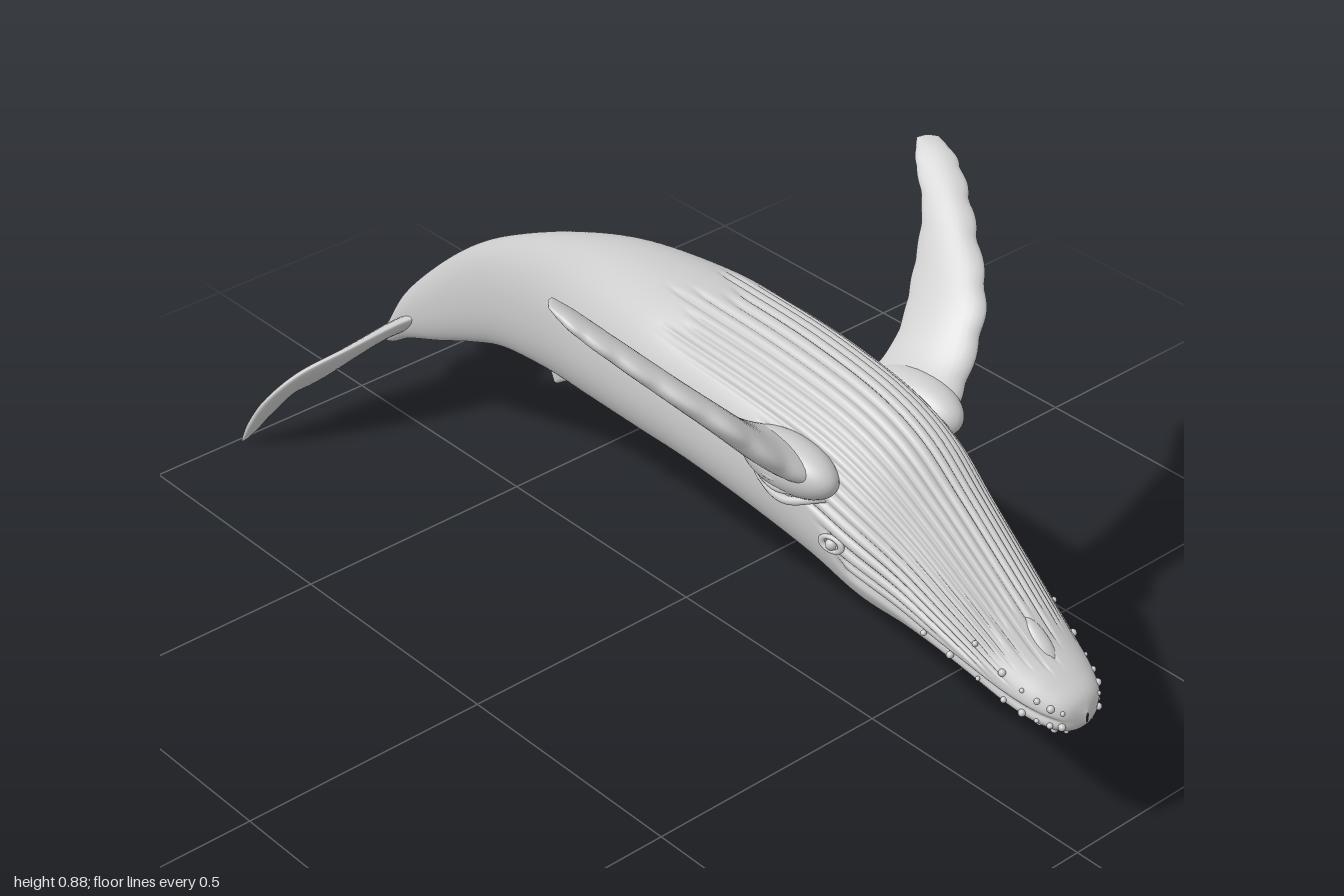
import * as THREE from 'three';

const V = (p) => new THREE.Vector3(...p);
const spline = (pts) => new THREE.CatmullRomCurve3(pts.map(V), false, 'catmullrom', 0.5);
const material = new THREE.MeshStandardMaterial({ color: 0xcccccc, roughness: 0.7 });

function part(name, geometry, parent) {
  const mesh = new THREE.Mesh(geometry, material);
  mesh.name = name;
  parent.add(mesh);
  return mesh;
}

// Closed rings joined along a path; at(u, angle) gives each surface point
function loft(rows, sides, at) {
  const pos = [], index = [];
  for (let i = 0; i <= rows; i++) {
    for (let j = 0; j < sides; j++) {
      pos.push(...at(i / rows, (j / sides) * Math.PI * 2).toArray());
      if (i === rows) continue;
      const k = (j + 1) % sides;
      const a = i * sides + j, b = i * sides + k;
      index.push(a, b, b + sides, a, b + sides, a + sides);
    }
  }
  const geo = new THREE.BufferGeometry();
  geo.setAttribute('position', new THREE.Float32BufferAttribute(pos, 3));
  geo.setIndex(index);
  geo.computeVertexNormals();
  return geo;
}

// Thin fin between a leading and a trailing edge, with optional scalloped edges
function blade(lead, trail, thickness, { front = 0, back = 0, waves = 8 } = {}) {
  const L = spline(lead), T = spline(trail);
  const mid = (t) => L.getPoint(t).add(T.getPoint(t)).multiplyScalar(0.5);
  return loft(64, 28, (t, a) => {
    const l = L.getPoint(t), r = T.getPoint(t);
    const chord = l.clone().sub(r).multiplyScalar(0.5);
    const c = chord.clone().normalize();
    const span = mid(Math.min(1, t + 0.01)).sub(mid(Math.max(0, t - 0.01)));
    const n = span.cross(c).normalize();
    const fade = Math.sin(Math.PI * Math.min(1, t * 1.02));
    const wave = Math.abs(Math.sin(t * waves * Math.PI)) * fade;
    const edge = Math.cos(a) > 0 ? front : back;
    const close = Math.sqrt(Math.max(0, 1 - t ** 6));
    const half = thickness * (1 - 0.6 * t) * close;
    return mid(t)
      .addScaledVector(chord, Math.cos(a) * (t === 1 ? 0.2 : 1))
      .addScaledVector(c, Math.cos(a) ** 3 * edge * wave)
      .addScaledVector(n, Math.sin(a) * (0.8 + 0.25 * Math.cos(a)) * half);
  });
}

// Body stations from tail to snout: z, top y, bottom y, half width
const stations = [
  [-0.93, 0.165, 0.155, 0.004], [-0.88, 0.22, 0.165, 0.02], [-0.82, 0.31, 0.2, 0.03],
  [-0.72, 0.41, 0.24, 0.037], [-0.61, 0.5, 0.287, 0.044], [-0.5, 0.567, 0.325, 0.056],
  [-0.34, 0.64, 0.35, 0.088], [-0.18, 0.688, 0.37, 0.13], [0, 0.705, 0.386, 0.16],
  [0.14, 0.702, 0.389, 0.167], [0.3, 0.692, 0.375, 0.167], [0.46, 0.668, 0.348, 0.16],
  [0.57, 0.628, 0.315, 0.149], [0.67, 0.557, 0.305, 0.127], [0.78, 0.472, 0.29, 0.109],
  [0.89, 0.388, 0.268, 0.09], [0.95, 0.352, 0.258, 0.071], [0.985, 0.328, 0.261, 0.045],
  [1, 0.3, 0.28, 0.002],
];
const heights = spline(stations.map(([z, top, bottom]) => [z, top, bottom]));
const widths = spline(stations.map((s) => [s[3], 0, 0]));

function skin(t, a) {
  const { x: z, y: top, z: bottom } = heights.getPoint(t);
  const w = Math.max(0.001, widths.getPoint(t).x);
  const full = (v) => Math.sign(v) * Math.abs(v) ** 0.92;
  return new THREE.Vector3(
    w * full(Math.cos(a)),
    (top + bottom) / 2 + ((top - bottom) / 2) * full(Math.sin(a)), z);
}

// Height of a polyline of [z, y] points
function lineY(line, z) {
  let i = 1;
  while (i < line.length - 1 && z > line[i][0]) i++;
  const [z0, y0] = line[i - 1], [z1, y1] = line[i];
  return THREE.MathUtils.mapLinear(THREE.MathUtils.clamp(z, z0, z1), z0, z1, y0, y1);
}
const mouth = [[0.5, 0.5], [0.57, 0.42], [0.75, 0.355], [1, 0.285]];
const pleatLimit = [[0, 0.66], [0.35, 0.62], [0.5, 0.5], [0.57, 0.43], [0.75, 0.37], [1, 0.3]];

// Skin with throat pleats and the mouth crease pressed in
const PLEATS = 44;
function carvedSkin(t, a) {
  const p = skin(t, a);
  const { smoothstep } = THREE.MathUtils;
  const id = Math.round((a * PLEATS) / (2 * Math.PI));
  const start = -0.03 + 0.12 * Math.abs(Math.sin(id * 2.4));
  const end = 0.96 - 0.1 * Math.abs(Math.sin(id * 1.7));
  const along = smoothstep(p.z, start, start + 0.06) * (1 - smoothstep(p.z, end - 0.06, end));
  const above = smoothstep(p.y, lineY(pleatLimit, p.z), lineY(pleatLimit, p.z) + 0.02);
  const groove = ((1 + Math.cos(a * PLEATS)) / 2) ** 3;
  const crease = Math.exp(-(((p.y - lineY(mouth, p.z)) / 0.008) ** 2)) *
    smoothstep(p.z, 0.52, 0.58) * (1 - smoothstep(p.z, 0.97, 1));
  const depth = 0.007 * groove * along * above + 0.008 * crease;
  const { y, z } = heights.getPoint(t);
  const inward = new THREE.Vector3(0, (y + z) / 2, p.z).sub(p).normalize();
  return p.addScaledVector(inward, depth);
}

// Edges of the +x flipper and fluke half
const flipperLead = [[0.11, 0.56, 0.53], [0.2, 0.61, 0.495], [0.3, 0.715, 0.44],
  [0.385, 0.8, 0.325], [0.44, 0.86, 0.23], [0.452, 0.888, 0.165]];
const flipperTrail = [[0.11, 0.59, 0.34], [0.2, 0.645, 0.33], [0.28, 0.715, 0.285],
  [0.35, 0.8, 0.235], [0.395, 0.855, 0.17], [0.425, 0.885, 0.14]];
const flukeLead = [[0, 0.29, -0.75], [0.05, 0.27, -0.785], [0.14, 0.232, -0.825],
  [0.22, 0.19, -0.87], [0.27, 0.13, -0.915], [0.288, 0.065, -0.955], [0.287, 0.005, -0.99]];
const flukeTrail = [[0, 0.16, -0.93], [0.05, 0.14, -0.937], [0.12, 0.1, -0.952],
  [0.19, 0.092, -0.952], [0.24, 0.055, -0.963], [0.27, 0.02, -0.978], [0.284, 0.002, -0.99]];

export function createModel() {
  const whale = new THREE.Group();
  whale.name = 'whale';
  part('body', loft(150, PLEATS * 6, carvedSkin), whale);

  // Small dorsal fin on the underside, as the animal lies belly up
  part('dorsalFin', blade(
    [[0, 0.4, -0.24], [0, 0.348, -0.3], [0, 0.318, -0.345], [0, 0.305, -0.365]],
    [[0, 0.38, -0.42], [0, 0.335, -0.39], [0, 0.316, -0.378], [0, 0.305, -0.374]], 0.022), whale);

  const ball = new THREE.SphereGeometry(1, 12, 8);
  for (const s of [1, -1]) {
    const side = s > 0 ? 'left' : 'right';
    const flip = (pts, k = 1) => pts.map(([x, y, z]) => [x * s * k, y, z]);

    part(side + 'Flipper', blade(flip(flipperLead), flip(flipperTrail), 0.034,
      { front: 0.008, back: 0.003, waves: 9 }), whale);
    part(side + 'Fluke', blade(flip(flukeLead, s > 0 ? 1 : 1.075),
      flip(flukeTrail, s > 0 ? 1 : 1.075), 0.018, { back: 0.007, waves: 6 }), whale);

    // Shoulder swelling and skin folds at the flipper root
    const shoulder = part(side + 'Shoulder', new THREE.SphereGeometry(1, 32, 20), whale);
    shoulder.position.set(0.148 * s, 0.58, 0.43);
    shoulder.scale.set(0.05, 0.055, 0.11);
    shoulder.rotation.z = -0.7 * s;
    for (let i = 0; i < 3; i++) {
      const fold = spline(flip([[0.145, 0.6 - i * 0.025, 0.52], [0.19 - i * 0.008, 0.575 - i * 0.025, 0.45],
        [0.18 - i * 0.008, 0.575 - i * 0.022, 0.38], [0.14, 0.6 - i * 0.02, 0.32]]));
      part(side + 'SkinFold', new THREE.TubeGeometry(fold, 24, 0.008, 8), whale);
    }

    // Eye with its lid ring
    const eye = new THREE.Group();
    eye.name = side + 'Eye';
    eye.position.set(0.152 * s, 0.47, 0.54);
    eye.rotation.y = s * 1.4;
    part('eyeball', ball, eye).scale.setScalar(0.011);
    part('eyelid', new THREE.TorusGeometry(0.016, 0.005, 8, 24), eye).scale.set(1.3, 0.85, 1);
    whale.add(eye);

    // Knobs along the lips and snout
    for (const [angle, count, first] of [[0.4, 6, 0.8], [-0.35, 8, 0.75], [-0.95, 6, 0.78]]) {
      for (let i = 0; i < count; i++) {
        const t = first + (i / count) * (0.97 - first);
        const knob = part(side + 'Knob', ball, whale);
        knob.position.copy(skin(t, s > 0 ? angle : Math.PI - angle));
        knob.scale.setScalar(0.0055 + 0.0015 * Math.sin(i * 2.1));
      }
    }
  }

  // Ridge under the chin tip
  const chin = part('chinRidge', new THREE.SphereGeometry(1, 20, 14), whale);
  chin.position.set(0, 0.385, 0.885);
  chin.scale.set(0.016, 0.012, 0.045);
  chin.rotation.x = 0.63;
  return whale;
}
